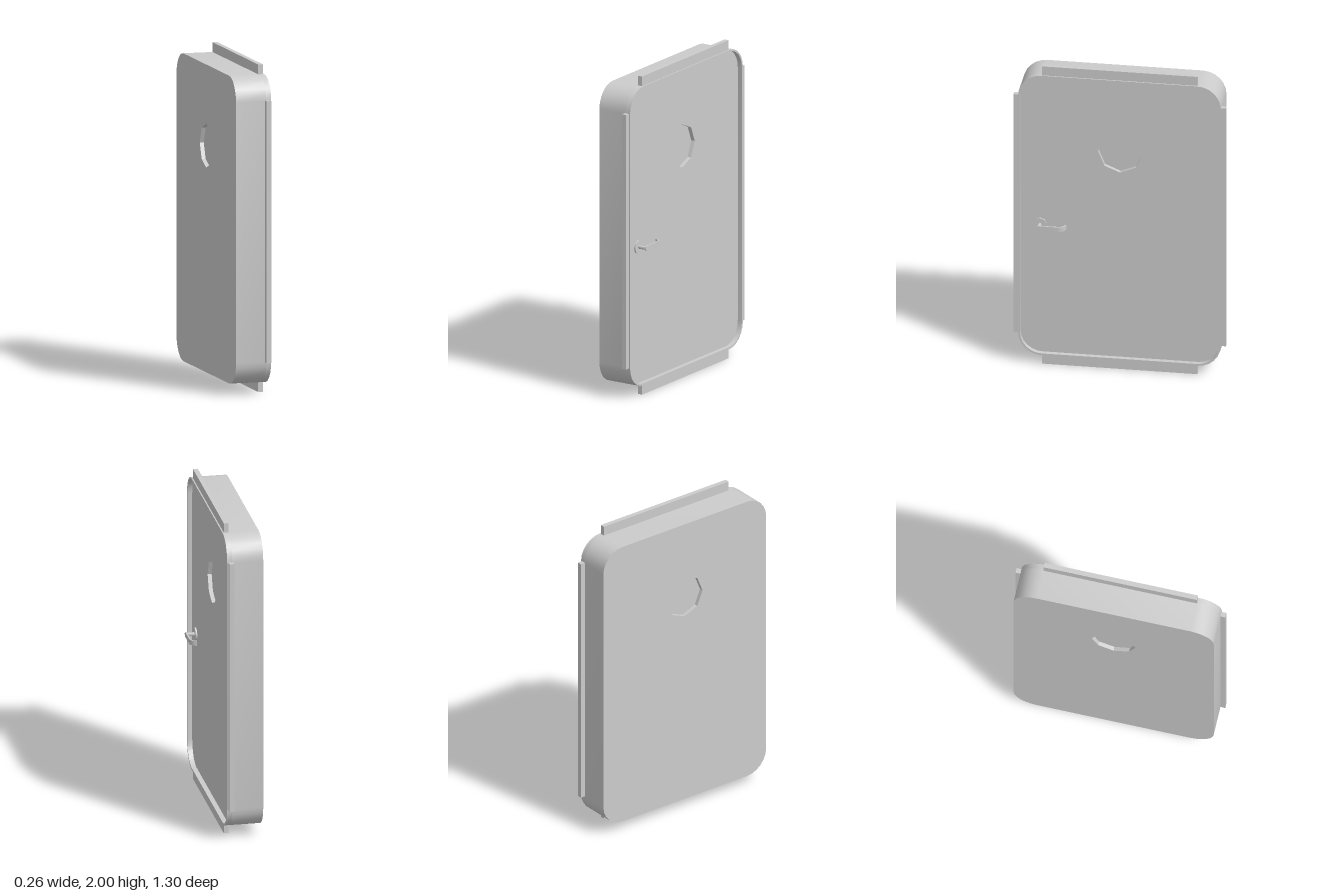
import * as THREE from 'three';
import { toCreasedNormals } from 'three/addons/utils/BufferGeometryUtils.js';

const material = new THREE.MeshStandardMaterial({ color: 0xcccccc });

// Door layout: the door faces +x, its width runs along z.
const HALF_W = 0.62, HALF_H = 0.94, MID_Y = 1, RADIUS = 0.145;
const BACK = -0.13, PANEL = 0.062, FRONT = 0.092;
const WINDOW_Y = 1.445, WINDOW_R = 0.135;

function roundedOutline(Target, inset) {
  const cx = HALF_W - RADIUS, cy = HALF_H - RADIUS, r = RADIUS - inset;
  const s = new Target();
  [[1, 1], [-1, 1], [-1, -1], [1, -1]].forEach(([sx, sy], i) => {
    s.absarc(sx * cx, MID_Y + sy * cy, r, i * Math.PI / 2, (i + 1) * Math.PI / 2, false);
  });
  s.closePath();
  return s;
}

function octagon(Target, y, r) {
  const pts = [];
  for (let i = 0; i < 8; i++) {
    const a = i * Math.PI / 4;
    pts.push(new THREE.Vector2(Math.cos(a) * r, y + Math.sin(a) * r));
  }
  return new Target(pts);
}

// Extrude a z-y outline along x between two depths.
function slab(shape, x0, x1) {
  const g = new THREE.ExtrudeGeometry(shape, { depth: x1 - x0, bevelEnabled: false, curveSegments: 3 });
  g.rotateY(Math.PI / 2).translate(x0, 0, 0);
  return toCreasedNormals(g, 0.6);
}

export function createModel() {
  const door = new THREE.Group();
  door.name = 'door';
  const add = (name, geometry, parent = door) => {
    const mesh = new THREE.Mesh(geometry, material);
    mesh.name = name;
    parent.add(mesh);
    return mesh;
  };

  // Thick door leaf with a window opening
  const leaf = roundedOutline(THREE.Shape, 0);
  leaf.holes.push(octagon(THREE.Path, WINDOW_Y, WINDOW_R));
  add('doorLeaf', slab(leaf, BACK, PANEL));

  // Thin raised lip around the front face
  const lip = roundedOutline(THREE.Shape, 0);
  lip.holes.push(roundedOutline(THREE.Path, 0.012));
  add('frontLip', slab(lip, PANEL, FRONT));

  // Recessed window pane
  add('windowPane', slab(octagon(THREE.Shape, WINDOW_Y, WINDOW_R), BACK + 0.025, PANEL - 0.025));

  // Sealing strips on all four edges
  for (const s of [1, -1]) {
    add(s > 0 ? 'topStrip' : 'bottomStrip', new THREE.BoxGeometry(0.03, 0.07, 0.95))
      .position.set(0.069, MID_Y + s * 0.965, 0);
    add(s > 0 ? 'leftStrip' : 'rightStrip', new THREE.BoxGeometry(0.03, 1.6, 0.04))
      .position.set(0.069, MID_Y, s * 0.63);
  }

  // Handle: round plate, spindle and curved lever
  const handle = new THREE.Group();
  handle.name = 'handle';
  handle.position.set(0, 0.93, 0.49);
  door.add(handle);
  const disc = (name, r, x0, x1, sides) => {
    const g = new THREE.CylinderGeometry(r, r, x1 - x0, sides);
    g.rotateZ(Math.PI / 2).translate((x0 + x1) / 2, 0, 0);
    add(name, toCreasedNormals(g, 0.9), handle);
  };
  disc('handlePlate', 0.042, PANEL - 0.005, PANEL + 0.01, 8);
  disc('spindle', 0.011, PANEL, 0.124, 8);
  disc('leverEnd', 0.015, 0.12, 0.129, 12);

  // Lever profile in x and -z, swept through its height
  const lever = new THREE.Shape();
  lever.moveTo(0.129, 0);
  lever.lineTo(0.129, 0.115);
  lever.bezierCurveTo(0.129, 0.145, 0.112, 0.16, 0.09, 0.165);
  lever.lineTo(0.088, 0.157);
  lever.bezierCurveTo(0.106, 0.152, 0.12, 0.14, 0.12, 0.115);
  lever.lineTo(0.12, 0);
  lever.closePath();
  const leverGeo = new THREE.ExtrudeGeometry(lever, { depth: 0.03, bevelEnabled: false, curveSegments: 6 });
  leverGeo.rotateX(-Math.PI / 2).translate(0, -0.015, 0);
  add('lever', toCreasedNormals(leverGeo, 0.6), handle);

  return door;
}
